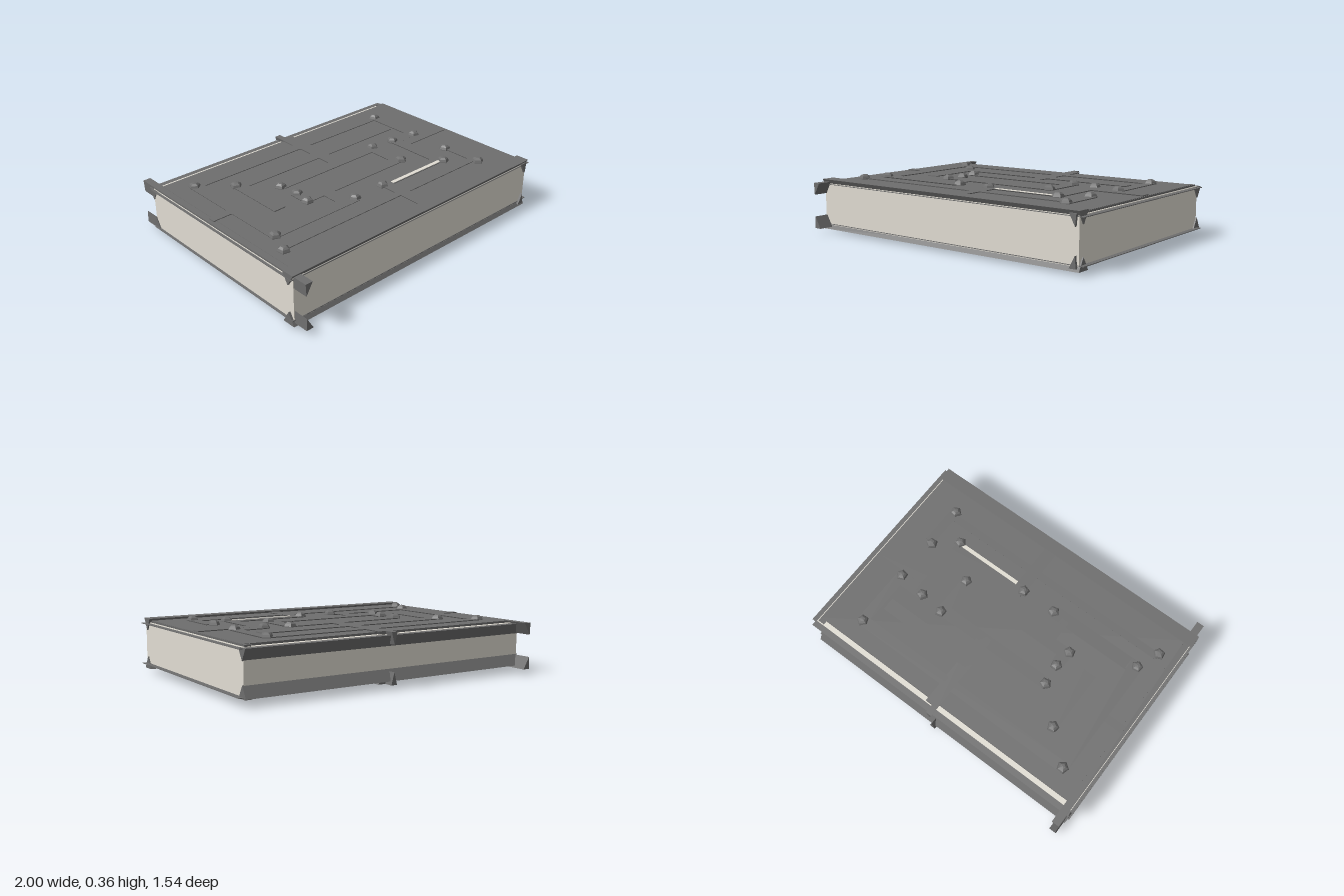
import * as THREE from 'three';

const MID = 0.18; // height of the mirror plane between both covers

const mat = (name, color) => {
  const m = new THREE.MeshStandardMaterial({ color });
  m.name = name;
  return m;
};

export function createModel() {
  const paper = mat('paper', 0xe1ddd3);
  const metal = mat('dark metal', 0x6e6e6e);

  const group = new THREE.Group();
  group.name = 'book';

  const add = (parent, name, geo, material) => {
    const mesh = new THREE.Mesh(geo, material);
    mesh.name = name;
    parent.add(mesh);
    return mesh;
  };

  // Box given by its limits
  const block = (parent, name, x1, x2, y1, y2, z1, z2, material) => {
    const mesh = add(parent, name, new THREE.BoxGeometry(x2 - x1, y2 - y1, z2 - z1), material);
    mesh.position.set((x1 + x2) / 2, (y1 + y2) / 2, (z1 + z2) / 2);
  };

  // Three-sided bar with its flat side outward; side is 1 for top, -1 for bottom
  const bar = (parent, name, side, [x1, z1, x2, z2, w = 0.085], top = 0.334, depth = 0.07, skew = 0) => {
    const y = v => MID + side * (v - MID);
    const shape = new THREE.Shape([
      new THREE.Vector2(-w / 2, y(top)),
      new THREE.Vector2(w / 2, y(top)),
      new THREE.Vector2(skew, y(top - depth)),
    ]);
    const length = Math.hypot(x2 - x1, z2 - z1);
    const geo = new THREE.ExtrudeGeometry(shape, { depth: length, bevelEnabled: false });
    const mesh = add(parent, name, geo, metal);
    mesh.rotation.y = Math.atan2(x2 - x1, z2 - z1);
    mesh.position.set(x1, 0, z1);
  };

  // Maze strips: start x, start z, end x, end z, width
  const strips = [
    [-0.8, -0.48, 0.735, -0.48, 0.07],
    [-0.79, -0.48, -0.79, 0.325, 0.09],
    [-0.8, 0.285, -0.18, 0.285, 0.09],
    [0.735, -0.48, 0.735, -0.095, 0.07],
    [-0.96, -0.08, -0.8, -0.08, 0.05],
    [-0.595, -0.34, -0.595, 0.09],
    [-0.6, -0.3, 0.68, -0.3],
    [0.055, -0.3, 0.055, -0.1],
    [-0.41, -0.125, 0.41, -0.125, 0.08],
    [0.37, -0.14, 0.37, 0.14, 0.09],
    [-0.41, 0.105, 0.41, 0.105, 0.08],
    [-0.4, 0, -0.4, 0.12, 0.08],
    [-0.257, 0.12, -0.257, 0.28],
    [0.05, 0.28, 0.6, 0.28, 0.08],
    [0.565, -0.12, 0.565, 0.31, 0.08],
    [0.55, -0.113, 0.74, -0.113],
    [0.6, -0.035, 0.95, -0.035, 0.07],
    [0.745, 0.2, 0.745, 0.47, 0.06],
    [-0.86, 0.428, 0.74, 0.428, 0.05],
    [0.08, 0.28, 0.08, 0.62, 0.08],
  ];
  const studs = [
    [-0.8, -0.48], [0.735, -0.48], [-0.61, -0.315], [-0.415, -0.125], [0.385, -0.14],
    [0.55, -0.12], [0.735, -0.095], [-0.4, 0.01], [-0.415, 0.125], [0.385, 0.12],
    [0.725, 0.195], [-0.8, 0.3], [-0.18, 0.285], [0.055, 0.285], [0.58, 0.31],
    [-0.86, 0.45], [0.74, 0.465],
  ];

  // Faceted five-sided dome
  const dome = new THREE.LatheGeometry(
    [[0.04, -0.01], [0.039, 0.008], [0.032, 0.023], [0.018, 0.033], [0, 0.035]]
      .map(p => new THREE.Vector2(...p)), 5,
  ).toNonIndexed();
  dome.computeVertexNormals();

  block(group, 'pages', -0.985, 0.968, 0.045, 0.315, -0.652, 0.675, paper);

  // Grey sheet on the top only; the underside shows bare paper between its strips
  block(group, 'coverSheet', -0.94, 0.955, 0.3, 0.328, -0.62, 0.62, metal);
  // Bare slot beside one strip
  block(group, 'slot', 0.12, 0.56, 0.33, 0.336, 0.29, 0.315, paper);

  for (const side of [1, -1]) {
    const cover = new THREE.Group();
    cover.name = side > 0 ? 'topCover' : 'bottomCover';
    group.add(cover);

    // Thin board showing at both ends
    const boardY = MID + side * 0.129;
    block(cover, 'board', -1, 1, boardY - 0.002, boardY + 0.002, -0.66, 0.678, metal);

    // Frame bars
    bar(cover, 'frontBar', side, [-0.998, 0.644, 0.976, 0.644, 0.088], 0.341, 0.075);
    bar(cover, 'backBar', side, [-0.99, -0.65, 0.976, -0.65, 0.08], 0.313, 0.07);
    bar(cover, 'spineBar', side, [-0.958, -0.772, -0.958, 0.772, 0.048], 0.326, 0.076, -0.02);
    bar(cover, 'edgeBar', side, [0.936, -0.645, 0.936, 0.69, 0.045], 0.326, 0.07, 0.015);
    // Clasp reaching over the back edge, ending in a narrow tip
    bar(cover, 'clasp', side, [0.055, -0.645, 0.055, -0.3, 0.085], 0.334, 0.075);
    bar(cover, 'claspTip', side, [0.03, -0.705, 0.03, -0.5, 0.04], 0.334, 0.075);

    for (const s of strips) bar(cover, 'strip', side, s);

    studs.forEach(([x, z], i) => {
      const stud = add(cover, 'stud', dome, metal);
      stud.position.set(x, MID + side * 0.144, z);
      stud.rotation.set(side > 0 ? 0 : Math.PI, i * 0.7, 0);
    });
  }
  return group;
}
